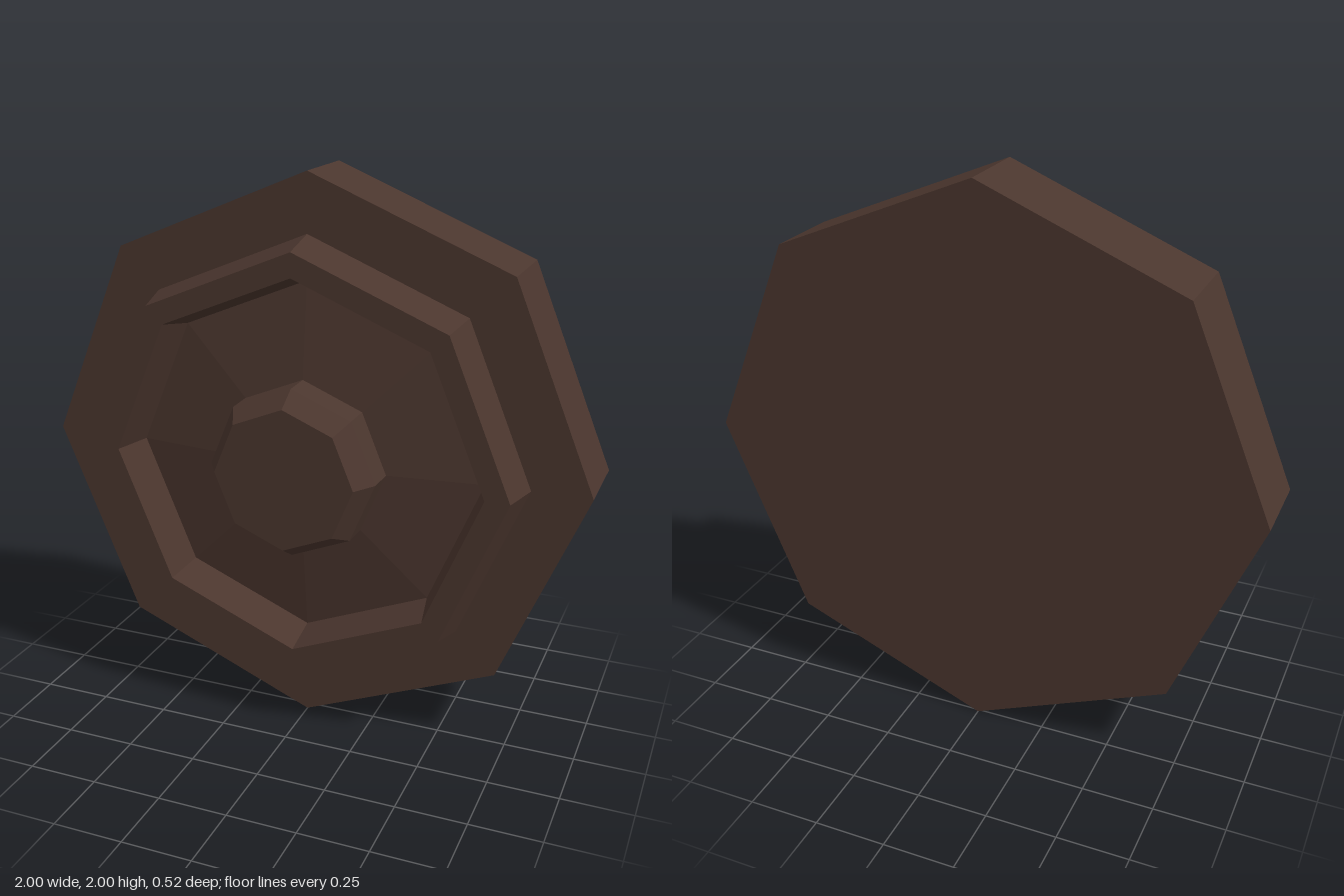
import * as THREE from 'three';

const SIDES = 8;

// Eight-sided turned part around the z axis; profile points are [radius, z], back to front.
function turned(name, profile, material) {
  const points = profile.map(([r, z]) => new THREE.Vector2(r, z));
  const geometry = new THREE.LatheGeometry(points, SIDES).rotateX(Math.PI / 2).toNonIndexed();
  geometry.computeVertexNormals(); // flat facets
  const mesh = new THREE.Mesh(geometry, material);
  mesh.name = name;
  mesh.position.y = 1;
  return mesh;
}

export function createModel() {
  const group = new THREE.Group();
  group.name = 'octagonalKnob';

  const darkBrown = new THREE.MeshStandardMaterial({ color: 0x4b362e });
  darkBrown.name = 'darkBrown';

  // Thick back plate, with its front step up to the ring
  group.add(turned('backPlate', [[0, -0.26], [1, -0.26], [1, 0.035], [0.795, 0.035]], darkBrown));

  // Raised ring with sloping outer and inner walls
  group.add(turned('raisedRing', [[0.795, 0.035], [0.76, 0.18], [0.675, 0.18], [0.64, 0.035]], darkBrown));

  // Recessed floor, rising gently to the middle
  group.add(turned('recessedFloor', [[0.64, 0.035], [0.305, 0.075]], darkBrown));

  // Central boss with a bevelled front
  group.add(turned('centreBoss', [[0.305, 0.075], [0.303, 0.18], [0.253, 0.26], [0, 0.26]], darkBrown));

  return group;
}
